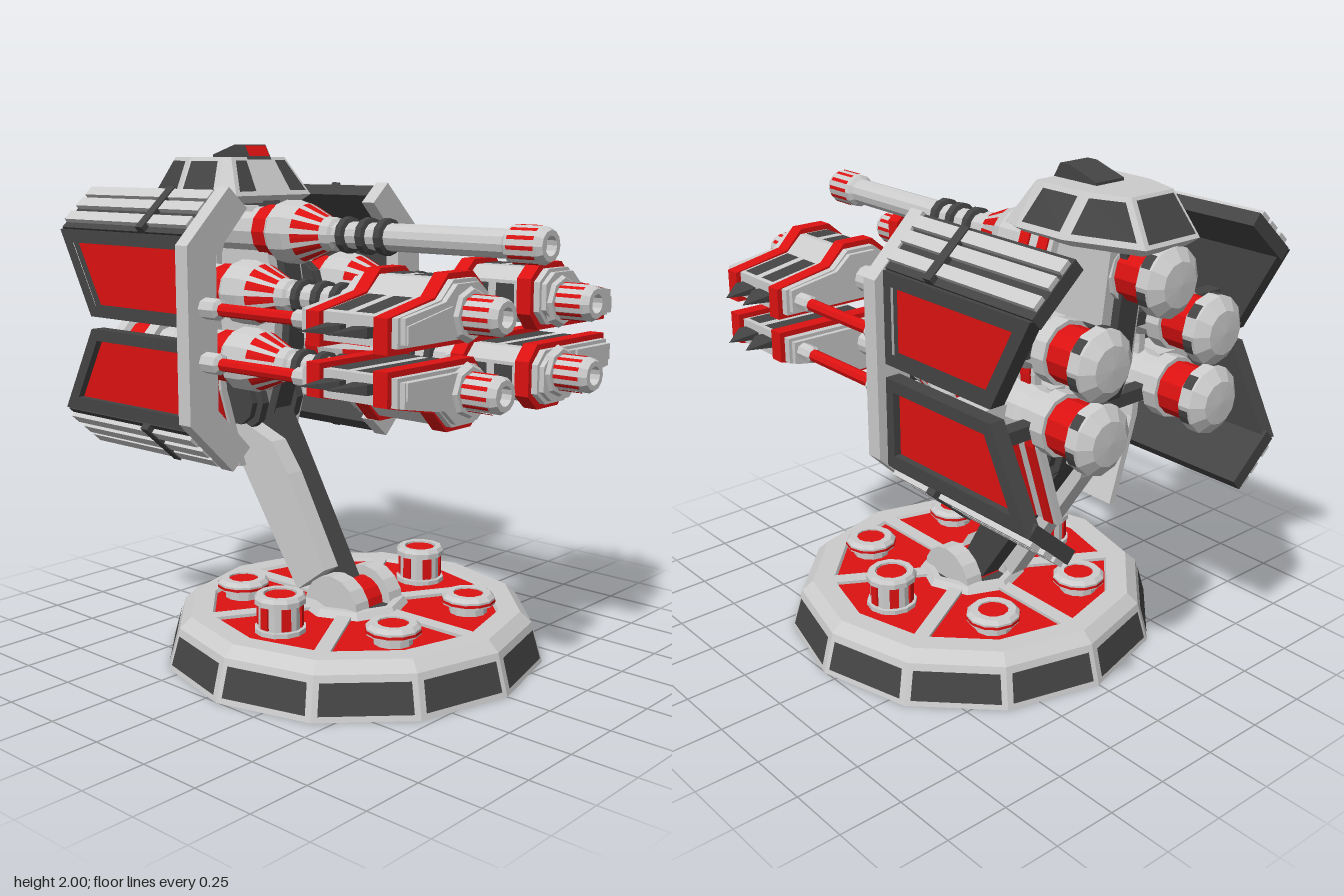
import * as THREE from 'three';
import { ConvexGeometry } from 'three/addons/geometries/ConvexGeometry.js';

const mat = (color) => new THREE.MeshStandardMaterial({ color, flatShading: true });
const GREY = mat(0xcccccc), RED = mat(0xdd1111), DARK = mat(0x444444);
const V = (x, y, z) => new THREE.Vector3(x, y, z);
const MID = 1.31; // height of the up-down mirror plane of the weapon head

function add(parent, name, geometry, material) {
  const mesh = new THREE.Mesh(geometry, material);
  mesh.name = name;
  parent.add(mesh);
  return mesh;
}
function group(parent, name) {
  const g = new THREE.Group();
  g.name = name;
  parent.add(g);
  return g;
}
const toShape = (pts) => new THREE.Shape(pts.map(([a, b]) => new THREE.Vector2(a, b)));
// outline in x,y pushed from z0 to z1
function extrudeZ(pts, z0, z1) {
  return new THREE.ExtrudeGeometry(toShape(pts), { depth: z1 - z0, bevelEnabled: false }).translate(0, 0, z0);
}
// outline in z,y pushed from x0 to x1
function extrudeX(pts, x0, x1, hole) {
  const shape = toShape(pts);
  if (hole) shape.holes.push(toShape(hole));
  return new THREE.ExtrudeGeometry(shape, { depth: x1 - x0, bevelEnabled: false }).rotateY(-Math.PI / 2).translate(x1, 0, 0);
}
const box = (x0, x1, y0, y1, z0, z1) =>
  new THREE.BoxGeometry(Math.abs(x1 - x0), Math.abs(y1 - y0), z1 - z0).translate((x0 + x1) / 2, (y0 + y1) / 2, (z0 + z1) / 2);
const lathe = (pts, n) => new THREE.LatheGeometry(pts.map(([r, h]) => new THREE.Vector2(r, h)), n);
const latheZ = (pts, n = 12) => lathe(pts, n).rotateX(Math.PI / 2);
const discX = (r, x, w, y, z, n = 16) => new THREE.CylinderGeometry(r, r, w, n).rotateZ(Math.PI / 2).translate(x, y, z);
const grow = (pts, d) => {
  const b = new THREE.Box2().setFromPoints(pts.map(([x, y]) => new THREE.Vector2(x, y)));
  const c = b.getCenter(new THREE.Vector2()), s = b.getSize(new THREE.Vector2());
  return pts.map(([x, y]) => [c.x + (x - c.x) * (1 + 2 * d / s.x), c.y + (y - c.y) * (1 + 2 * d / s.y)]);
};
// flat inset plate on a face, facing away from the point inside
function panel(parent, name, corners, inside, margin, material, lift = 0.005) {
  const n = corners.length;
  let pts = corners.map((v, i) => {
    const pull = (w) => w.clone().sub(v).normalize().multiplyScalar(margin);
    return v.clone().add(pull(corners[(i + 1) % n])).add(pull(corners[(i + n - 1) % n]));
  });
  const normal = pts[1].clone().sub(pts[0]).cross(pts[2].clone().sub(pts[0])).normalize();
  if (normal.dot(pts[0].clone().sub(inside)) < 0) { normal.negate(); pts.reverse(); }
  pts = pts.map((p) => p.addScaledVector(normal, lift));
  const tris = [];
  for (let i = 1; i < n - 1; i++) tris.push(pts[0], pts[i], pts[i + 1]);
  const g = new THREE.BufferGeometry().setFromPoints(tris);
  g.computeVertexNormals();
  add(parent, name, g, material);
}
// narrow stripes around a z-axis cone
function stripes(parent, name, r0, r1, z0, z1, n, fill, material) {
  const step = Math.PI * 2 / n;
  for (let i = 0; i < n; i++) {
    add(parent, name, new THREE.CylinderGeometry(r1 + 0.003, r0 + 0.003, z1 - z0, 2, 1, true, i * step, step * fill)
      .rotateX(Math.PI / 2).translate(0, 0, (z0 + z1) / 2), material);
  }
}

function buildBase(root) {
  const base = group(root, 'base');
  base.position.z = 0.06;
  add(base, 'plinth', lathe([[0, 0], [0.755, 0], [0.71, 0.16], [0.665, 0.2], [0.58, 0.2], [0.57, 0.183], [0, 0.183]], 12), GREY);
  add(base, 'floor', new THREE.CircleGeometry(0.585, 12).rotateX(-Math.PI / 2).translate(0, 0.187, 0), RED);
  const at = (r, a, y) => V(r * Math.sin(a), y, r * Math.cos(a));
  for (let i = 0; i < 12; i++) {
    const a = i * Math.PI / 6, b = a + Math.PI / 6;
    panel(base, 'sidePanel', [at(0.755, a, 0), at(0.755, b, 0), at(0.712, b, 0.155), at(0.712, a, 0.155)], V(0, 0.1, 0), 0.022, DARK);
  }
  for (let i = 0; i < 6; i++) {
    const spoke = add(base, 'spoke', new THREE.BoxGeometry(0.06, 0.025, 0.42).translate(0, 0.187, 0.38), GREY);
    spoke.rotation.y = i * Math.PI / 3;
    // tall turrets at the sides, low ones between
    const a = Math.PI / 2 + i * Math.PI / 3, tall = i % 3 === 0;
    const pod = group(base, tall ? 'tallTurret' : 'lowTurret');
    pod.position.copy(at(tall ? 0.42 : 0.46, a, 0));
    const top = tall ? 0.33 : 0.26;
    add(pod, 'turretBody', lathe(tall
      ? [[0.1, 0.185], [0.1, 0.205], [0.085, 0.205], [0.085, 0.3], [0.1, 0.3], [0.1, 0.32], [0.09, 0.335], [0.065, 0.335], [0.065, 0.32], [0, 0.32]]
      : [[0.075, 0.185], [0.075, 0.22], [0.105, 0.225], [0.105, 0.25], [0.09, 0.265], [0.06, 0.265], [0.06, 0.245], [0, 0.245]], 12), GREY);
    add(pod, 'turretTop', new THREE.CylinderGeometry(0.06, 0.06, 0.01, 12).translate(0, top - 0.006, 0), RED);
    if (tall) for (let k = 0; k < 6; k++) {
      add(pod, 'turretSlot', box(-0.018, 0.018, 0.21, 0.295, 0.07, 0.088), RED).rotation.y = (k + 0.5) * Math.PI / 3;
    } else add(pod, 'turretBand', new THREE.CylinderGeometry(0.107, 0.107, 0.01, 12).translate(0, 0.237, 0), RED);
  }
  // hub and arm hinge
  add(base, 'hubRing', lathe([[0.22, 0.185], [0.2, 0.215], [0.17, 0.215], [0.17, 0.19]], 8), GREY);
  add(base, 'hubFloor', new THREE.CylinderGeometry(0.18, 0.18, 0.02, 8).translate(0, 0.187, 0), DARK);
  for (const s of [-1, 1]) add(base, 'hingeCheek', discX(0.14, s * 0.1, 0.075, 0.19, 0), GREY);
  add(base, 'hingePin', discX(0.1, 0, 0.14, 0.19, 0), RED);
}

function buildArm(root) {
  const arm = group(root, 'arm');
  add(arm, 'armBeam', extrudeX([[0.12, 0.2], [-0.06, 0.22], [-0.5, 0.85], [-0.6, 1], [-0.4, 1.05], [-0.26, 0.82], [0.05, 0.28]], -0.04, 0.05), DARK);
  add(arm, 'armRail', extrudeX([[0.01, 0.34], [-0.14, 0.23], [-0.52, 0.8], [-0.55, 0.92], [-0.28, 0.82], [-0.19, 0.7]], -0.12, -0.04), GREY);
  for (const s of [-1, 1]) {
    add(arm, 'elbowGear', discX(0.13, s * 0.1, 0.035, 0.97, -0.46, 10), DARK);
    add(arm, 'elbowRim', discX(0.1, s * 0.1, 0.09, 0.97, -0.46, 10), DARK);
  }
}

function buildSpine(root) {
  const spine = group(root, 'spine');
  const outline = [[-0.34, 0.92], [-0.26, 1.15], [-0.24, 1.35], [-0.3, 1.65], [-0.4, 1.8], [-0.8, 1.8], [-0.74, 1.3], [-0.6, 0.88]];
  add(spine, 'spineCore', extrudeX(outline, -0.045, 0.045), DARK);
  add(spine, 'spineCladding', extrudeX(grow(outline, -0.04), -0.09, 0.09), GREY);
  for (const s of [-1, 1]) {
    for (const x of [0.1, 0.13]) add(spine, 'shoulderGear', discX(0.095, s * x, 0.02, 1.44, -0.33, 10), DARK);
    for (const v of [-1, 1]) {
      add(spine, 'crossStrut', box(0, s * 0.58, MID + v * 0.09, MID + v * 0.17, -0.56, -0.4), GREY);
      add(spine, 'rearStrut', box(0, s * 0.58, MID + v * 0.12, MID + v * 0.17, -0.7, -0.64), DARK);
    }
    // curved side ribs with red outer stripes
    const path = [[0.19, 1.8], [0.265, 1.58], [0.275, 1.31], [0.25, 1.03], [0.15, 0.7]];
    const band = (a, b) => [...path.map(([x, y]) => [s * (x + a), y]), ...path.map(([x, y]) => [s * (x + b), y]).reverse()];
    add(spine, 'rib', extrudeZ(band(-0.03, 0), -0.6, -0.43), GREY);
    for (const z of [-0.58, -0.49]) add(spine, 'ribStripe', extrudeZ(band(0, 0.008), z, z + 0.045), RED);
  }
}

function buildCockpit(root) {
  const cab = group(root, 'cockpit');
  const low = [[0.21, -0.37], [0.235, -0.45], [0.235, -0.68], [0.13, -0.95]];
  const high = [[0.15, -0.46], [0.155, -0.5], [0.15, -0.7], [0.1, -0.85]];
  const L = (i, s) => V(s * low[i][0], 1.8, low[i][1]), H = (i, s) => V(s * high[i][0], 1.95, high[i][1]);
  const pts = [];
  for (const s of [-1, 1]) for (let i = 0; i < 4; i++) pts.push(L(i, s), H(i, s), V(s * low[i][0] * 0.8, 1.77, low[i][1] * 0.9 - 0.06));
  add(cab, 'cockpitShell', new ConvexGeometry(pts), GREY);
  const inside = V(0, 1.87, -0.65);
  for (const s of [-1, 1]) {
    panel(cab, 'frontWindow', [L(0, s), H(0, s), V(s * 0.06, 1.95, -0.46), V(s * 0.08, 1.8, -0.37)], inside, 0.018, DARK);
    for (const i of [1, 2]) panel(cab, 'sideWindow', [L(i, s), H(i, s), H(i + 1, s), L(i + 1, s)], inside, 0.022, DARK, 0.008);
  }
  panel(cab, 'rearWindow', [L(3, 1), H(3, 1), H(3, -1), L(3, -1)], inside, 0.015, DARK);
  add(cab, 'roofSight', extrudeX([[-0.45, 1.94], [-0.485, 2], [-0.53, 2], [-0.66, 1.96], [-0.66, 1.94]], -0.065, 0.065), DARK);
  panel(cab, 'sightLens', [V(-0.065, 1.945, -0.453), V(0.065, 1.945, -0.453), V(0.065, 2, -0.485), V(-0.065, 2, -0.485)], V(0, 1.95, -0.6), 0.008, RED);
}

function buildCannon(root, x, y) {
  const gun = group(root, 'cannon');
  gun.position.set(x, y, 0);
  add(gun, 'rearCap', latheZ([[0, -0.97], [0.08, -0.965], [0.125, -0.93], [0.125, -0.88], [0.1, -0.87]]), GREY);
  stripes(gun, 'capSlot', 0.125, 0.125, -0.925, -0.885, 6, 0.4, DARK);
  add(gun, 'rearSleeve', latheZ([[0.1, -0.88], [0.1, -0.75]]), RED);
  add(gun, 'breech', latheZ([[0.09, -0.76], [0.115, -0.76], [0.115, -0.7], [0.09, -0.7], [0.09, -0.62], [0.1, -0.6], [0.1, -0.35],
    [0.1, -0.3], [0.125, -0.27], [0.125, -0.19], [0.11, -0.15], [0.065, -0.04], [0.065, 0], [0.052, 0.01], [0.052, 0.81]]), GREY);
  add(gun, 'midSleeve', latheZ([[0.104, -0.37], [0.104, -0.3]]), RED);
  stripes(gun, 'coneStripe', 0.11, 0.065, -0.15, -0.04, 12, 0.6, RED);
  for (const z of [0.06, 0.16, 0.25]) {
    add(gun, 'barrelRing', latheZ([[0.05, z - 0.02], [0.07, z - 0.014], [0.07, z + 0.014], [0.05, z + 0.02]]), DARK);
  }
  add(gun, 'muzzle', latheZ([[0.05, 0.8], [0.066, 0.815], [0.066, 0.95], [0.055, 0.97], [0.035, 0.97], [0.035, 0.93], [0, 0.93]]), GREY);
  stripes(gun, 'muzzleSlot', 0.066, 0.066, 0.83, 0.94, 12, 0.4, RED);
}

function buildWeaponPod(root, s, v) {
  const pod = group(root, 'weaponPod');
  const flip = ([x, y]) => [s * x, MID + v * (y - MID)];
  const outline = [[0.2, 1.345], [0.64, 1.345], [0.64, 1.455], [0.41, 1.5], [0.34, 1.57], [0.21, 1.57], [0.15, 1.52], [0.15, 1.4]].map(flip);
  const body = grow(outline, -0.012);
  add(pod, 'podBody', extrudeZ(body, 0.39, 0.8), GREY);
  for (const [z0, z1] of [[0.37, 0.39], [0.8, 0.82]]) add(pod, 'podEnd', extrudeZ(grow(outline, -0.025), z0, z1), GREY);
  for (const z of [0.42, 0.715]) add(pod, 'podBand', extrudeZ(grow(outline, 0.008), z, z + 0.06), RED);
  add(pod, 'noseTrim', extrudeZ([[0.38, 1.37], [0.61, 1.37], [0.61, 1.43], [0.38, 1.475]].map(flip), 0.8, 0.828), GREY);
  add(pod, 'noseCollar', latheZ([[0.1, 0.81], [0.085, 0.835], [0, 0.835]], 8).translate(s * 0.275, MID + v * 0.13, 0), GREY);
  // dark vents on every broad side
  body.forEach((p, i) => {
    const q = body[(i + 1) % body.length];
    if (Math.hypot(q[0] - p[0], q[1] - p[1]) < 0.1) return;
    for (const [z0, z1] of [[0.485, 0.59], [0.6, 0.705]]) {
      panel(pod, 'podVent', [V(...p, z0), V(...q, z0), V(...q, z1), V(...p, z1)], V(s * 0.3, MID + v * 0.11, 0.6), 0.012, DARK);
    }
  });
  for (const z of [0.49, 0.61]) {
    add(pod, 'sideSpike', new ConvexGeometry([V(s * 0.76, MID + v * 0.09, z), ...[0.075, 0.11].flatMap((h) =>
      [V(s * 0.6, MID + v * h, z), V(s * 0.6, MID + v * h, z + 0.09), V(s * 0.66, MID + v * h, z + 0.09)])]), DARK);
  }
  // push rod back to the shield
  const rod = group(root, 'pushRod');
  rod.position.set(s * 0.575, MID + v * 0.1, 0);
  add(rod, 'rodShaft', latheZ([[0.024, -0.12], [0.024, 0.32]], 8), RED);
  add(rod, 'rodTip', latheZ([[0.024, 0.3], [0.033, 0.31], [0.033, 0.38]], 8), GREY);
  add(rod, 'rodSocket', latheZ([[0.04, -0.18], [0.04, -0.08], [0.024, -0.07]], 8), GREY);
}

function buildShield(root, s) {
  const shield = group(root, 'shield');
  const half = [[0.45, 1.845], [0.36, 1.765], [0.52, 1.6]], outer = [[0.66, 1.64]];
  const down = (pts) => pts.map(([x, y]) => [x, 2 * MID - y]).reverse();
  add(shield, 'frontFrame', extrudeZ([...half, ...down(half), ...down(outer), ...outer].map(([x, y]) => [s * x, y]), -0.22, -0.155), GREY);
  const slab = (pts, a, b, hole) => extrudeX(pts, Math.min(s * a, s * b), Math.max(s * a, s * b), hole);
  for (const v of [-1, 1]) {
    const flipY = ([a, y]) => [a, MID + v * (y - MID)];
    const flipXY = ([x, y]) => [s * x, MID + v * (y - MID)];
    const rim = [[-0.215, 1.335], [-0.77, 1.335], [-0.95, 1.67], [-0.215, 1.67]].map(flipY);
    const hole = [[-0.26, 1.38], [-0.74, 1.38], [-0.87, 1.62], [-0.26, 1.62]].map(flipY);
    add(shield, 'panelRim', slab(rim, 0.585, 0.625, hole), DARK);
    add(shield, 'panelInset', slab(hole, 0.585, 0.598), RED);
    add(shield, 'panelBack', slab(rim, 0.565, 0.585), DARK);
    // slanted edge plate with ridges and a clip
    const slant = (t0, t1, d0, d1) => [[t0, d0], [t1, d0], [t1, d1], [t0, d1]]
      .map(([t, d]) => flipXY([0.605 - 0.175 * t + 0.035 * d, 1.665 + 0.155 * t + 0.04 * d]));
    add(shield, 'edgePlate', extrudeZ(slant(0, 1, -0.7, 0.3), -0.95, -0.22), DARK);
    for (const t of [0.12, 0.45, 0.72]) add(shield, 'edgeRidge', extrudeZ(slant(t, t + 0.2, 0, 0.65), -0.945, -0.22), GREY);
    add(shield, 'edgeClip', extrudeZ(slant(0, 0.95, 0, 0.75), -0.48, -0.44), DARK);
  }
}

export function createModel() {
  const root = new THREE.Group();
  root.name = 'turret';
  buildBase(root);
  buildArm(root);
  buildSpine(root);
  buildCockpit(root);
  buildCannon(root, -0.03, 1.66);
  for (const s of [-1, 1]) {
    buildShield(root, s);
    for (const v of [-1, 1]) {
      buildCannon(root, s * 0.275, MID + v * 0.13);
      buildWeaponPod(root, s, v);
    }
  }
  return root;
}
